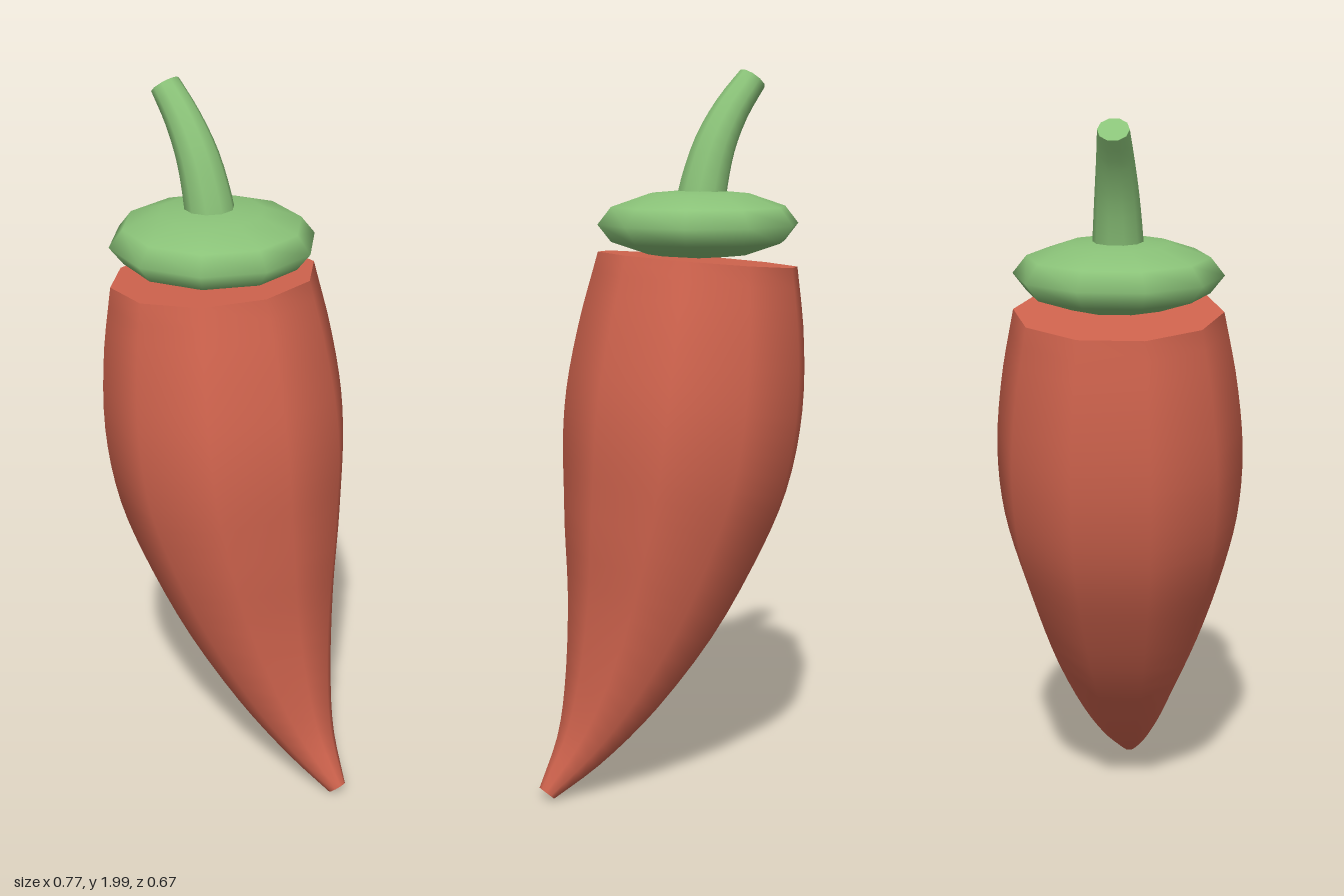
import * as THREE from 'three';

const SIDES = 10;

// Sweeps a ten-sided section along a curve in the xy plane.
// Each point is [x, y, radius]; both ends get flat caps.
function sweep(points, steps) {
  const curve = new THREE.CatmullRomCurve3(points.map((p) => new THREE.Vector3(...p)));
  const pos = [];
  const index = [];
  const ring = (t) => {
    const c = curve.getPoint(t);
    const d = curve.getTangent(t).setZ(0).normalize();
    const first = pos.length / 3;
    for (let k = 0; k < SIDES; k++) {
      const a = ((k + 0.5) / SIDES) * Math.PI * 2;
      const n = c.z * Math.cos(a);
      pos.push(c.x - d.y * n, c.y + d.x * n, c.z * Math.sin(a));
    }
    return first;
  };
  // side wall
  for (let i = 0; i <= steps; i++) ring(i / steps);
  for (let i = 0; i < steps; i++) {
    for (let k = 0; k < SIDES; k++) {
      const a = i * SIDES + k;
      const b = i * SIDES + ((k + 1) % SIDES);
      index.push(a, b, a + SIDES, b, b + SIDES, a + SIDES);
    }
  }
  // end caps with their own vertices, so the rims stay sharp
  const start = ring(0);
  const end = ring(1);
  for (let k = 1; k < SIDES - 1; k++) {
    index.push(start, start + k + 1, start + k);
    index.push(end, end + k, end + k + 1);
  }
  const geometry = new THREE.BufferGeometry();
  geometry.setAttribute('position', new THREE.Float32BufferAttribute(pos, 3));
  geometry.setIndex(index);
  geometry.computeVertexNormals();
  return geometry;
}

export function createModel() {
  const red = new THREE.MeshStandardMaterial({ color: 0xd1644e });
  red.name = 'pepper red';
  const green = new THREE.MeshStandardMaterial({ color: 0x8ac278 });
  green.name = 'stem green';

  const model = new THREE.Group();
  model.name = 'chilliPepper';
  const add = (name, geometry, material) => {
    const mesh = new THREE.Mesh(geometry, material);
    mesh.name = name;
    model.add(mesh);
    return mesh;
  };

  // curved fruit, from the flat shoulder down to the blunt tip
  add('fruit', sweep([
    [-0.105, 1.488, 0.28],
    [-0.088, 1.3, 0.316],
    [-0.066, 1.1, 0.335],
    [-0.04, 0.92, 0.325],
    [0, 0.75, 0.29],
    [0.065, 0.53, 0.226],
    [0.165, 0.3, 0.143],
    [0.257, 0.15, 0.08],
    [0.367, 0.026, 0.026],
  ], 28), red);

  // flattened cap resting on the shoulder
  const cap = new THREE.SphereGeometry(0.28, SIDES, 6);
  cap.rotateY(Math.PI / SIDES).scale(1, 0.095 / 0.28, 1);
  add('cap', cap, green).position.set(-0.105, 1.585, 0);

  // bent, tapering stem
  add('stem', sweep([
    [-0.105, 1.6, 0.071],
    [-0.121, 1.69, 0.066],
    [-0.155, 1.8, 0.058],
    [-0.207, 1.895, 0.049],
    [-0.271, 1.977, 0.041],
  ], 12), green);

  return model;
}
